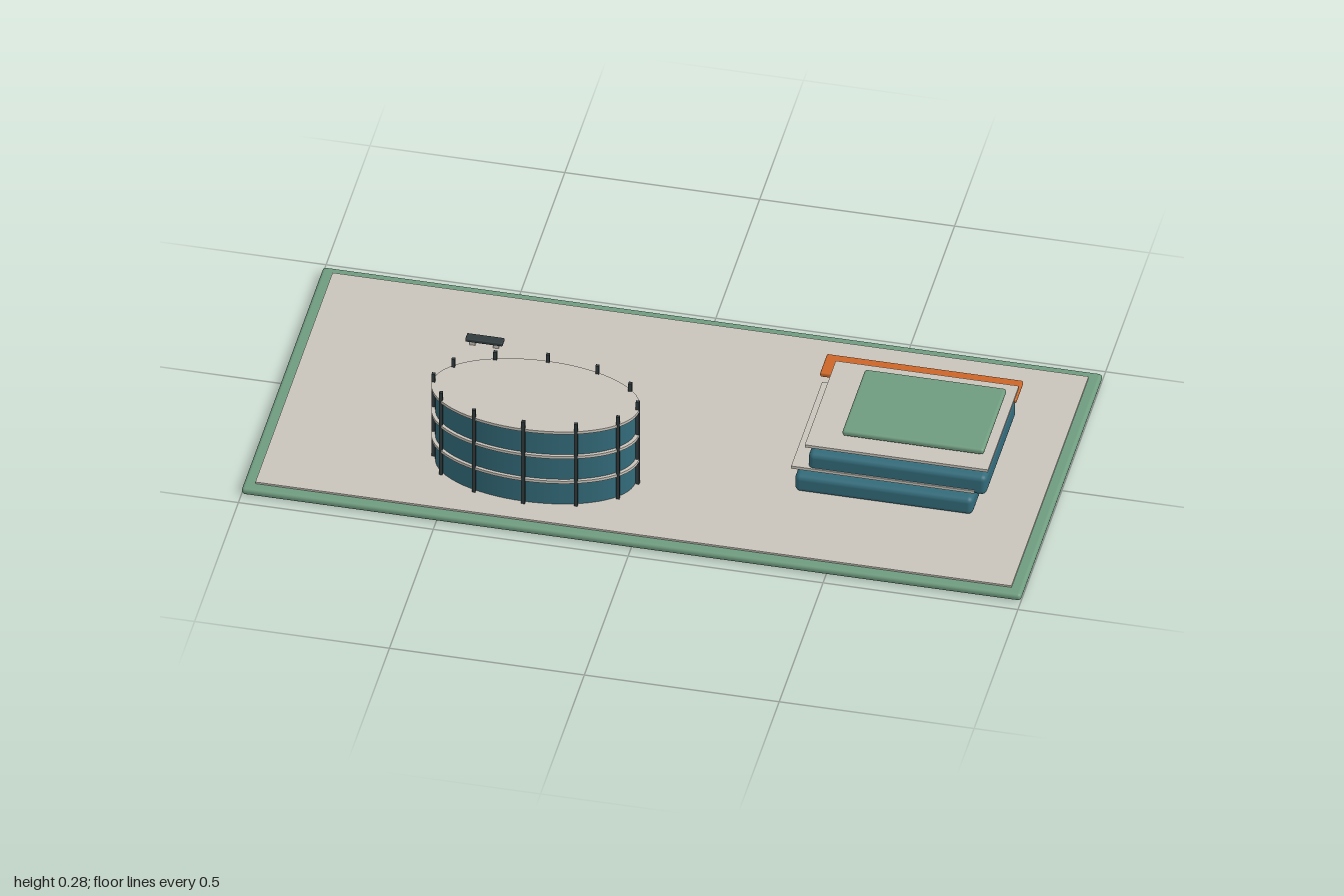
import * as THREE from 'three';
import { RoundedBoxGeometry } from 'three/addons/geometries/RoundedBoxGeometry.js';

export function createModel() {
  const root = new THREE.Group();
  root.name = 'campus';
  const mat = (name, color) => {
    const m = new THREE.MeshStandardMaterial({ color });
    m.name = name;
    return m;
  };
  const green = mat('planted green', 0x6f9c7f);
  const stone = mat('pale stone', 0xc8c3ba);
  const glass = mat('teal glass', 0x336b7a);
  const orange = mat('orange canopy', 0xcb6628);
  const dark = mat('dark metal', 0x303b3d);

  const group = (name) => {
    const g = new THREE.Group();
    g.name = name;
    root.add(g);
    return g;
  };
  const add = (parent, name, geometry, material, x, y, z) => {
    const m = new THREE.Mesh(geometry, material);
    m.name = name;
    m.position.set(x, y, z);
    parent.add(m);
    return m;
  };
  // Box from its extents, optionally with rounded edges
  const box = (parent, name, material, [x0, x1], [y0, y1], [z0, z1], r = 0) => {
    const s = [x1 - x0, y1 - y0, z1 - z0];
    const g = r ? new RoundedBoxGeometry(...s, 3, r) : new THREE.BoxGeometry(...s);
    return add(parent, name, g, material, (x0 + x1) / 2, (y0 + y1) / 2, (z0 + z1) / 2);
  };

  // Site
  const site = group('site');
  box(site, 'lawnBase', green, [-1, 1], [0, 0.02], [-0.468, 0.468], 0.009);
  box(site, 'plaza', stone, [-0.97, 0.97], [0.015, 0.025], [-0.44, 0.44]);

  // Oval tower: three glazed storeys, each capped by a slab
  const tower = group('ovalTower');
  const cx = -0.297, cz = 0.2345;
  const oval = (name, material, rx, rz, y0, y1) => {
    const g = new THREE.CylinderGeometry(1, 1, y1 - y0, 64);
    g.scale(rx, 1, rz);
    add(tower, name, g, material, cx, (y0 + y1) / 2, cz);
  };
  for (let i = 0; i < 3; i++) {
    const y = 0.025 + i * 0.078;
    oval('storeyGlass', glass, 0.256, 0.135, y, y + 0.07);
    oval('floorSlab', stone, 0.266, 0.143, y + 0.07, y + 0.078);
  }
  // Vertical fins around the facade
  for (let i = 0; i < 12; i++) {
    const a = (i * Math.PI) / 6;
    add(tower, 'fin', new THREE.BoxGeometry(0.009, 0.258, 0.009), dark,
      cx + 0.262 * Math.cos(a), 0.154, cz + 0.141 * Math.sin(a));
  }
  box(tower, 'entranceCanopy', orange, [-0.465, -0.13], [0.082, 0.093], [-0.005, 0.108], 0.004);

  // Terraced pavilion: two shifted glass volumes with floating slabs
  const pavilion = group('terracedPavilion');
  for (let i = 0; i < 2; i++) {
    const dx = i * 0.035;
    const y = i ? 0.093 : 0.025;
    box(pavilion, 'glassVolume', glass, [0.355 + dx, 0.812 + dx], [y, i ? 0.151 : 0.076], [-0.16, 0.184], 0.014);
    const sy = i ? 0.174 : 0.101;
    box(pavilion, 'terraceSlab', stone, [0.348 + dx, 0.818 + dx], [sy, sy + 0.008], [-0.165, 0.188]);
  }
  box(pavilion, 'greenRoof', green, [0.468, 0.831], [0.188, 0.205], [-0.121, 0.141], 0.007);
  box(pavilion, 'rearCanopy', orange, [0.346, 0.85], [0.137, 0.151], [-0.23, -0.148], 0.005);
  for (let i = 0; i < 4; i++) {
    add(pavilion, 'column', new THREE.CylinderGeometry(0.005, 0.005, 0.15, 12), dark,
      0.39 + i * 0.139, 0.1, -0.157);
  }

  // Benches behind the buildings
  for (const x of [-0.533, 0.585]) {
    const bench = group('bench');
    box(bench, 'benchSeat', dark, [x - 0.048, x + 0.048], [0.036, 0.046], [-0.248, -0.222], 0.003);
    for (const s of [-1, 1]) {
      const lx = x + s * 0.03;
      box(bench, 'benchLeg', stone, [lx - 0.007, lx + 0.007], [0.025, 0.037], [-0.243, -0.227]);
    }
  }
  return root;
}
